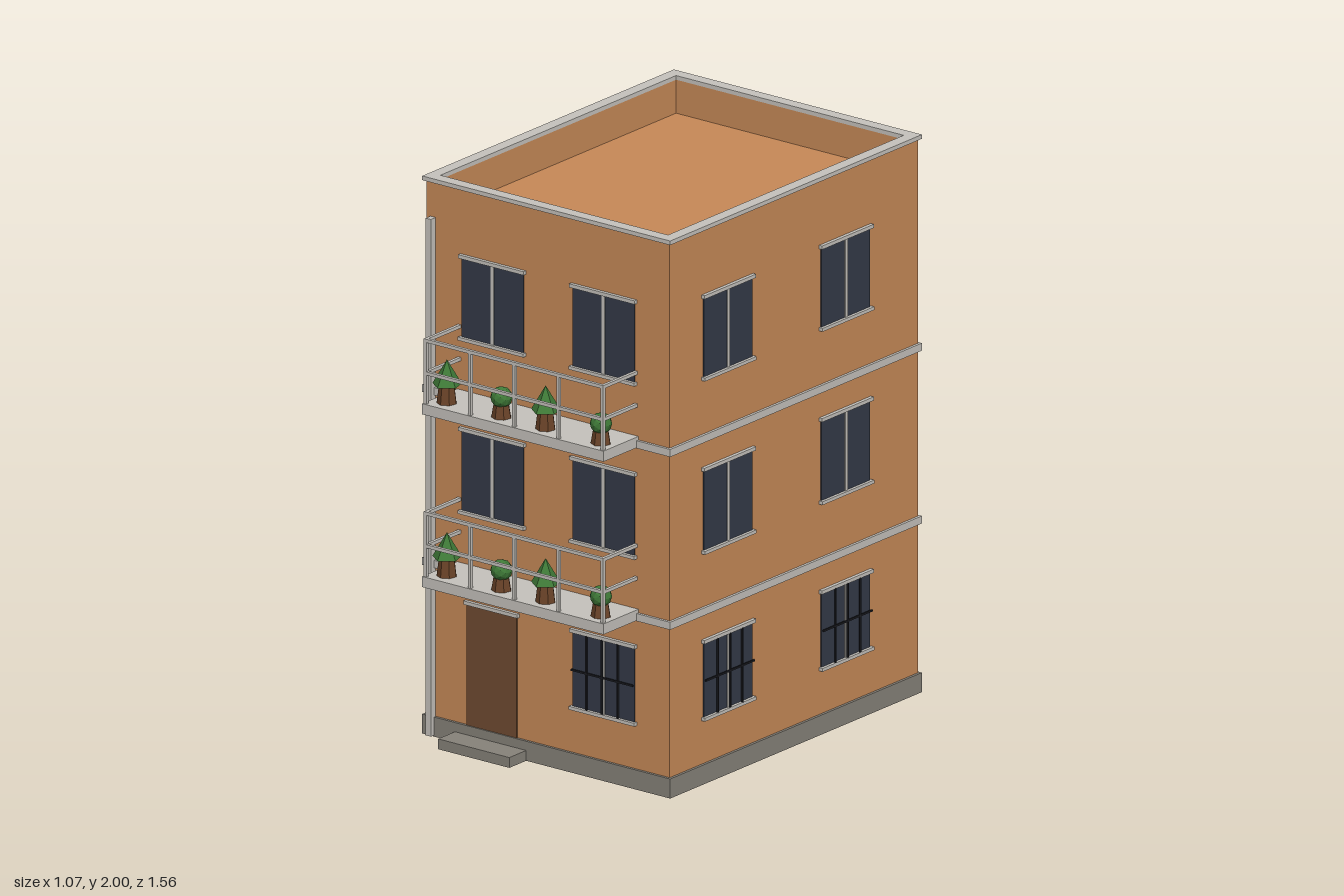
import * as THREE from 'three';

const mat = (name, color, flat = false) => {
  const m = new THREE.MeshStandardMaterial({ color, flatShading: flat });
  m.name = name;
  return m;
};

export function createModel() {
  const model = new THREE.Group();
  model.name = 'apartmentBuilding';

  const wall = mat('terracottaWall', 0xc88a58);
  const trim = mat('paleTrim', 0xc6c3bd);
  const stone = mat('plinthStone', 0x87837a);
  const glass = mat('darkGlass', 0x343a48);
  const iron = mat('blackIron', 0x1c1d22);
  const wood = mat('doorWood', 0x704b31);
  const clay = mat('potClay', 0x6b4429, true);
  const leaf = mat('leafGreen', 0x3f7a38, true);

  const add = (parent, name, geo, material, x = 0, y = 0, z = 0) => {
    const m = new THREE.Mesh(geo, material);
    m.name = name;
    m.position.set(x, y, z);
    parent.add(m);
    return m;
  };
  // Box given by its minimum and maximum corners
  const box = (parent, name, material, x0, x1, y0, y1, z0, z1) =>
    add(parent, name, new THREE.BoxGeometry(x1 - x0, y1 - y0, z1 - z0), material,
      (x0 + x1) / 2, (y0 + y1) / 2, (z0 + z1) / 2);

  // Main block, centred on CX / CZ
  const CX = -0.004, CZ = -0.09, HX = 0.524, HZ = 0.678, LIP = 0.01;
  const block = (name, material, grow, y0, y1) =>
    box(model, name, material, CX - HX - grow, CX + HX + grow, y0, y1, CZ - HZ - grow, CZ + HZ + grow);

  // Rectangular ring lying flat, used for the parapet and its coping
  const ring = (name, material, hx, hz, ix, iz, y0, y1) => {
    const rect = (P, a, b) => {
      const p = new P();
      p.moveTo(-a, -b); p.lineTo(a, -b); p.lineTo(a, b); p.lineTo(-a, b); p.closePath();
      return p;
    };
    const shape = rect(THREE.Shape, hx, hz);
    shape.holes.push(rect(THREE.Path, ix, iz));
    const geo = new THREE.ExtrudeGeometry(shape, { depth: y1 - y0, bevelEnabled: false });
    geo.rotateX(-Math.PI / 2);
    return add(model, name, geo, material, CX, y0, CZ);
  };

  const ROOF = 1.865;
  block('plinth', stone, LIP, 0, 0.07);
  block('walls', wall, 0, 0.06, ROOF);
  ring('parapet', wall, HX, HZ, 0.49, 0.644, ROOF, 1.985);
  ring('coping', trim, HX + LIP, HZ + LIP, 0.49, 0.644, 1.985, 2);
  for (const y of [0.605, 1.225]) block('floorBand', trim, LIP, y, y + 0.027);

  // Window built facing +z, its back on local z = 0
  const makeWindow = (h, barred) => {
    const g = new THREE.Group();
    g.name = barred ? 'barredWindow' : 'window';
    const w = 0.133;
    box(g, 'pane', glass, -w, w, 0, h, -0.004, 0.004);
    box(g, 'mullion', trim, -0.007, 0.007, 0, h, 0, 0.007);
    box(g, 'lintel', trim, -w - 0.008, w + 0.008, h - 0.002, h + 0.011, -0.004, 0.013);
    box(g, 'sill', trim, -w - 0.008, w + 0.008, -0.009, 0.003, -0.004, 0.015);
    if (barred) {
      for (const x of [-0.067, 0, 0.067]) box(g, 'bar', iron, x - 0.003, x + 0.003, 0, h, 0.009, 0.015);
      box(g, 'crossBar', iron, -w, w, h / 2 - 0.003, h / 2 + 0.003, 0.009, 0.015);
    }
    return g;
  };
  const floors = [[0.235, 0.27], [0.833, 0.29], [1.455, 0.287]];
  const placeWindow = (floor, x, z, turn) => {
    const [y, h] = floors[floor];
    const g = makeWindow(h, floor === 0);
    g.position.set(x, y, z);
    g.rotation.y = turn;
    model.add(g);
  };
  const FRONT = CZ + HZ, BACK = CZ - HZ, SIDE = CX + HX;
  for (let f = 0; f < 3; f++) {
    placeWindow(f, 0.238, FRONT, 0);
    if (f > 0) {
      placeWindow(f, -0.24, FRONT, 0);
      placeWindow(f, -0.003, BACK, Math.PI);
    }
    for (const z of [0.273, -0.37]) placeWindow(f, SIDE, z, Math.PI / 2);
  }

  // Entrance
  box(model, 'door', wood, -0.35, -0.135, 0.07, 0.505, FRONT - 0.004, FRONT + 0.005);
  box(model, 'doorLintel', trim, -0.358, -0.127, 0.503, 0.516, FRONT - 0.004, FRONT + 0.013);
  box(model, 'doorStep', stone, -0.397, -0.09, 0, 0.037, FRONT, 0.69);

  // Drainpipe
  box(model, 'drainpipe', trim, -0.509, -0.486, 0.005, 1.86, FRONT + 0.002, 0.616);

  // Potted plants: a pointed one and a round one
  const plant = (parent, pointed, x, y, z) => {
    const g = new THREE.Group();
    g.name = pointed ? 'pointedPlant' : 'roundPlant';
    g.position.set(x, y, z);
    const ph = pointed ? 0.085 : 0.06;
    add(g, 'pot', new THREE.CylinderGeometry(0.025, 0.035, ph, 7), clay, 0, ph / 2, 0);
    if (pointed) {
      add(g, 'foliage', new THREE.ConeGeometry(0.052, 0.09, 5), leaf, 0, 0.11, 0);
    } else {
      add(g, 'foliage', new THREE.IcosahedronGeometry(0.038, 1), leaf, 0, 0.071, 0);
    }
    parent.add(g);
  };

  // Balconies with railings
  const balcony = (y) => {
    const g = new THREE.Group();
    g.name = 'balcony';
    const X0 = -0.395, X1 = 0.386, Z1 = 0.78, T = 0.006;
    const L = X0 + 0.01, R = X1 - 0.01, ZR = Z1 - 0.01, top = y + 0.265;
    box(g, 'slab', trim, X0, X1, y, y + 0.038, FRONT, Z1);
    for (const ry of [y + 0.148, top]) {
      box(g, 'frontRail', trim, L - T, R + T, ry - T, ry + T, ZR - T, ZR + T);
      for (const x of [L, R]) box(g, 'sideRail', trim, x - T, x + T, ry - T, ry + T, FRONT, ZR);
    }
    for (let i = 0; i < 5; i++) {
      const x = L + (R - L) * i / 4;
      box(g, 'post', trim, x - T, x + T, y + 0.03, top, ZR - T, ZR + T);
    }
    [-0.335, -0.1, 0.09, 0.328].forEach((x, i) => plant(g, i % 2 === 0, x, y + 0.038, 0.72));
    model.add(g);
  };
  balcony(0.607);
  balcony(1.227);

  return model;
}
